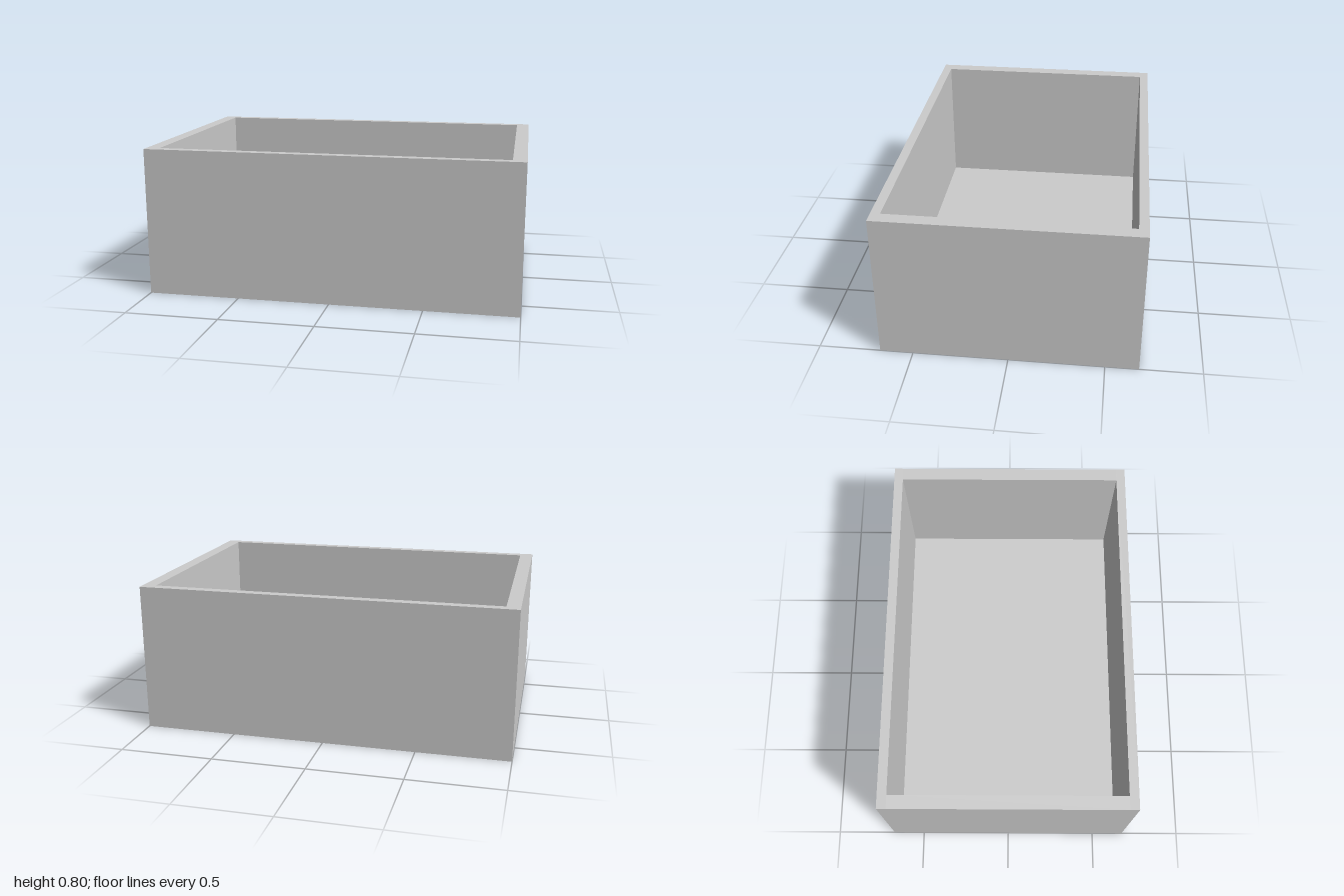
import * as THREE from 'three';

const WIDTH = 2, DEPTH = 1.35, HEIGHT = 0.8;
const BASE = 0.053;  // floor board thickness
const FRONT = 0.05;  // front and back board thickness
const SIDE = 0.072;  // side board thickness

export function createModel() {
  const group = new THREE.Group();
  group.name = 'openBox';
  const material = new THREE.MeshStandardMaterial({ color: 0xcccccc, flatShading: true });

  // A board resting on height y
  function board(name, w, h, d, x, y, z) {
    const mesh = new THREE.Mesh(new THREE.BoxGeometry(w, h, d), material);
    mesh.name = name;
    mesh.position.set(x, y + h / 2, z);
    group.add(mesh);
  }

  // Floor under all four walls
  board('basePanel', WIDTH, BASE, DEPTH, 0, 0, 0);

  // Full-width front and back, with the sides fitted between them
  const wallHeight = HEIGHT - BASE;
  for (const s of [1, -1]) {
    board(s > 0 ? 'frontPanel' : 'backPanel',
      WIDTH, wallHeight, FRONT, 0, BASE, s * (DEPTH - FRONT) / 2);
    board(s > 0 ? 'leftPanel' : 'rightPanel',
      SIDE, wallHeight, DEPTH - 2 * FRONT, s * (WIDTH - SIDE) / 2, BASE, 0);
  }
  return group;
}
